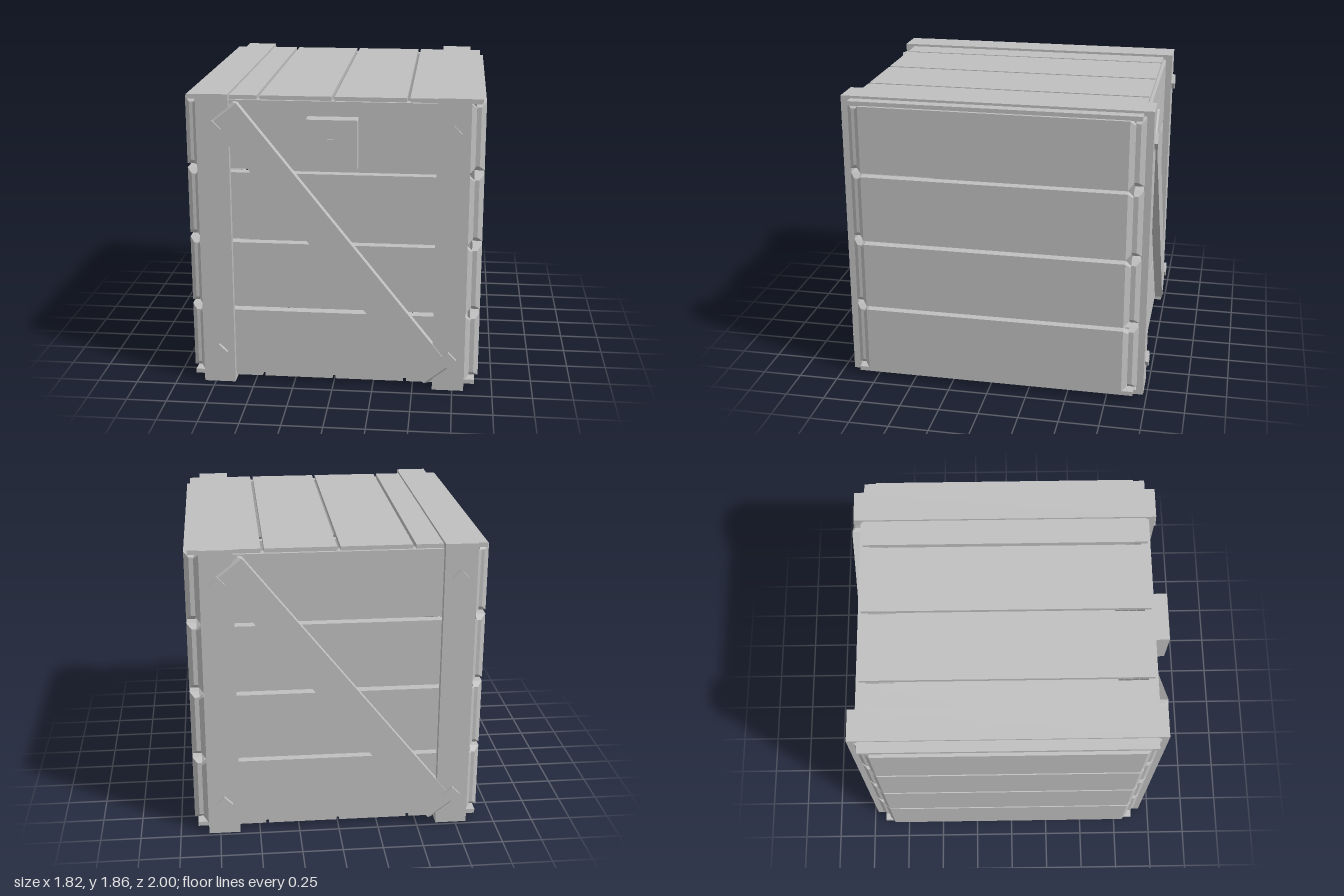
import * as THREE from 'three';

const wood = new THREE.MeshStandardMaterial({ color: 0xbfbfbf });
wood.name = 'plain grey';

function mesh(name, geometry, x, y, z, parent) {
  const m = new THREE.Mesh(geometry, wood);
  m.name = name;
  m.position.set(x, y, z);
  parent.add(m);
  return m;
}

// Board lying along x with its outer face on +z; both ends taper by c.
function boardGeometry(length, height, thickness, c) {
  const box = new THREE.BoxGeometry(length, height, thickness, 3, 1, 1);
  const p = box.attributes.position;
  for (let i = 0; i < p.count; i++) {
    const x = p.getX(i), y = p.getY(i), z = p.getZ(i);
    if (Math.abs(x) < length * 0.4) {
      p.setX(i, Math.sign(x) * (length / 2 - c));
    } else {
      p.setY(i, y - Math.sign(y) * c);
      if (z > 0) p.setZ(i, z - c);
    }
  }
  const flat = box.toNonIndexed();
  flat.computeVertexNormals();
  return flat;
}

// Four stacked boards with see-through gaps, outer face at the given distance.
function addWall(name, angle, distance, parent) {
  const wall = new THREE.Group();
  wall.name = name;
  wall.rotation.y = angle;
  parent.add(wall);
  for (let i = 0; i < 4; i++) {
    mesh('wallPlank', boardGeometry(1.708, 0.423, 0.06, 0.03), 0, 0.265 + i * 0.449, distance - 0.03, wall);
  }
  return wall;
}

// Uprights, diagonal brace and square bolts on the front and back.
function addBracing(wall) {
  for (const s of [-1, 1]) {
    mesh('upright', new THREE.BoxGeometry(0.197, 1.804, 0.046), s * 0.7235, 0.932, 0.933, wall);
    for (const y of [0.21, 1.655]) {
      const bolt = mesh('bolt', new THREE.BoxGeometry(0.074, 0.074, 0.04), s * 0.72, y, 0.958, wall);
      bolt.rotation.z = Math.PI / 4;
    }
  }
  const brace = mesh('diagonalBrace', boardGeometry(2.13, 0.203, 0.056, 0.018), 0, 0.93, 0.939, wall);
  brace.rotation.z = -Math.atan2(336, 267);
}

// Lid or floor: four planks and two cross battens.
function addDeck(name, plankY, battenY, side, parent) {
  const deck = new THREE.Group();
  deck.name = name;
  parent.add(deck);
  for (let i = 0; i < 4; i++) {
    mesh('deckPlank', new THREE.BoxGeometry(0.431, 0.028, 1.79), -0.675 + i * 0.45, plankY, 0, deck);
  }
  for (const s of [-1, 1]) {
    mesh('crossBatten', new THREE.BoxGeometry(0.197, 0.03, 1.912), s * 0.7235, battenY, 0, deck);
  }
}

export function createModel() {
  const model = new THREE.Group();
  model.name = 'woodenCrate';

  const crate = new THREE.Group();
  crate.name = 'crate';
  crate.position.z = -0.0215;
  model.add(crate);

  addBracing(addWall('frontWall', 0, 0.914, crate));
  addBracing(addWall('backWall', Math.PI, 0.914, crate));
  addWall('leftWall', Math.PI / 2, 0.912, crate);
  addWall('rightWall', -Math.PI / 2, 0.912, crate);
  addDeck('lid', 1.835, 1.849, 1, crate);
  addDeck('floor', 0.036, 0.015, -1, crate);

  // Lock on the front wall
  const lock = new THREE.Group();
  lock.name = 'lock';
  model.add(lock);
  const plate = new THREE.Shape([
    [-0.15, -0.153], [0.15, -0.153], [0.155, -0.148], [0.155, 0.148],
    [0.15, 0.153], [-0.15, 0.153], [-0.155, 0.148], [-0.155, -0.148],
  ].map(([x, y]) => new THREE.Vector2(x, y)));
  mesh('lockPlate', new THREE.ExtrudeGeometry(plate, { depth: 0.11, bevelEnabled: false }), 0, 1.58, 0.88, lock);
  mesh('keyhole', new THREE.BoxGeometry(0.047, 0.117, 0.03), 0, 1.557, 0.985, lock);

  return model;
}
